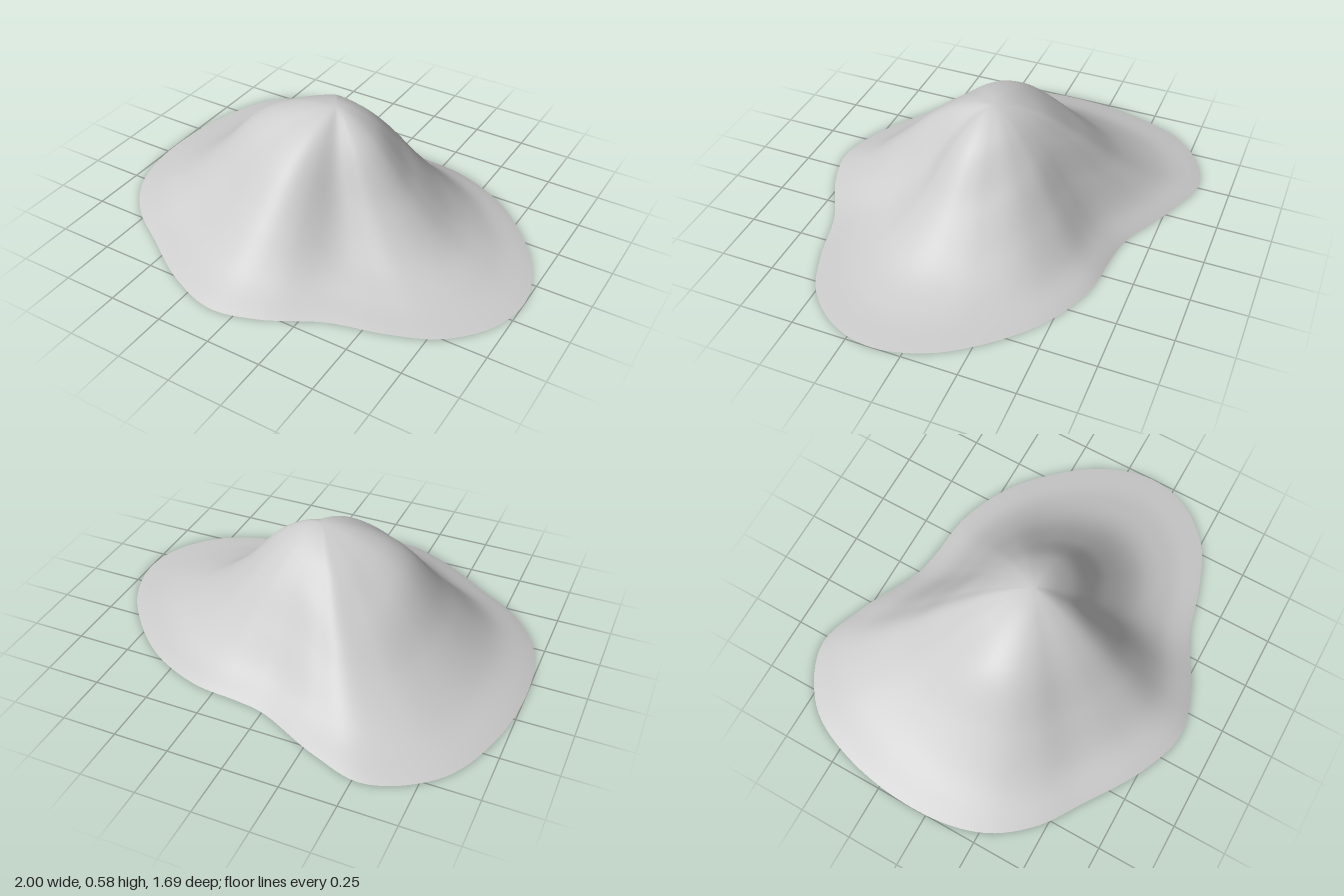
import * as THREE from 'three';

const PEAK = 0.583, RINGS = 40, SIDES = 144;

// Footprint of the hill on the ground, as [x, z]
const OUTLINE = [
  [1, 0.13], [0.95, 0.33], [0.8, 0.5], [0.6, 0.59], [0.35, 0.66], [0.1, 0.79],
  [-0.11, 0.84], [-0.35, 0.76], [-0.6, 0.6], [-0.8, 0.46], [-0.94, 0.27], [-1, 0],
  [-0.96, -0.4], [-0.82, -0.7], [-0.55, -0.85], [-0.3, -0.78], [0, -0.637],
  [0.13, -0.614], [0.35, -0.59], [0.6, -0.48], [0.8, -0.3], [0.94, -0.1],
];

// Relative heights at 0, 20, 40, 60, 80 and 100 % of the way out, every 45 degrees from +x towards +z
const SLOPES = [
  [1, 0.85, 0.48, 0.2, 0.065, 0],
  [1, 0.83, 0.46, 0.19, 0.06, 0],
  [1, 0.9, 0.68, 0.4, 0.15, 0],
  [1, 0.93, 0.74, 0.42, 0.14, 0],
  [1, 0.94, 0.77, 0.41, 0.14, 0],
  [1, 0.89, 0.61, 0.3, 0.1, 0],
  [1, 0.93, 0.74, 0.44, 0.16, 0],
  [1, 0.9, 0.64, 0.34, 0.11, 0],
];

// Smooth curve through four evenly spaced values, between b and c
function spline(a, b, c, d, t) {
  return b + 0.5 * t * (c - a + t * (2 * a - 5 * b + 4 * c - d + t * (3 * (b - c) + d - a)));
}

function slopeHeight(row, t) {
  const s = t * 5, i = Math.min(4, Math.floor(s));
  const before = row[Math.abs(i - 1)];
  const after = i < 4 ? row[i + 2] : -row[4];
  return spline(before, row[i], row[i + 1], after, s - i);
}

function height(angle, t) {
  const s = ((angle / (Math.PI / 4)) + 8) % 8, i = Math.floor(s);
  const h = k => slopeHeight(SLOPES[(i + k + 8) % 8], t);
  return PEAK * Math.max(0, spline(h(-1), h(0), h(1), h(2), s - i));
}

export function createModel() {
  const group = new THREE.Group();
  group.name = 'hill';
  const stone = new THREE.MeshStandardMaterial({ color: 0xcccccc });
  stone.name = 'pale grey';

  const curve = new THREE.CatmullRomCurve3(
    OUTLINE.map(([x, z]) => new THREE.Vector3(x, 0, z)), true, 'centripetal');
  const rim = curve.getSpacedPoints(SIDES).slice(0, SIDES);

  // Sloping surface: rings shrinking from the footprint to the summit
  const positions = [0, PEAK, 0], faces = [];
  for (let r = 1; r <= RINGS; r++) {
    const t = r / RINGS;
    for (const p of rim) {
      positions.push(p.x * t, height(Math.atan2(p.z, p.x), t), p.z * t);
    }
  }
  for (let j = 0; j < SIDES; j++) {
    const k = (j + 1) % SIDES;
    faces.push(0, 1 + k, 1 + j);
    for (let r = 0; r < RINGS - 1; r++) {
      const a = 1 + r * SIDES, b = a + SIDES;
      faces.push(a + j, a + k, b + j, a + k, b + k, b + j);
    }
  }
  const surface = new THREE.BufferGeometry();
  surface.setAttribute('position', new THREE.Float32BufferAttribute(positions, 3));
  surface.setIndex(faces);
  surface.computeVertexNormals();
  const slope = new THREE.Mesh(surface, stone);
  slope.name = 'slope';

  // Flat underside, facing down
  const shape = new THREE.Shape(rim.map(p => new THREE.Vector2(p.x, p.z)));
  const base = new THREE.Mesh(new THREE.ShapeGeometry(shape).rotateX(Math.PI / 2), stone);
  base.name = 'underside';

  group.add(slope, base);
  return group;
}
